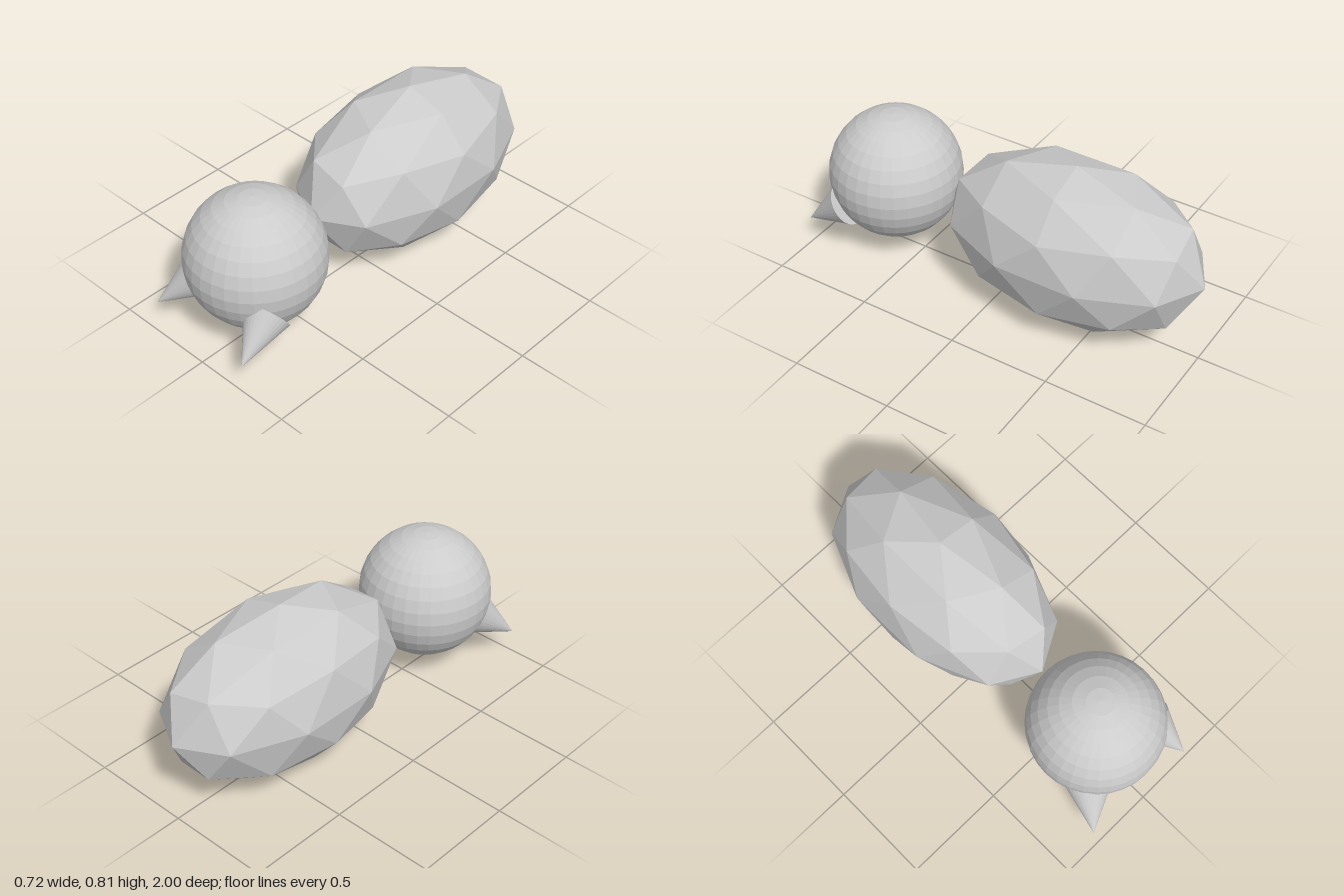
import * as THREE from 'three';

const material = new THREE.MeshStandardMaterial({ color: 0xcccccc, flatShading: true });

function addMesh(group, name, geometry) {
  const mesh = new THREE.Mesh(geometry, material);
  mesh.name = name;
  group.add(mesh);
  return mesh;
}

// Cone running from its tip back along a direction to its base
function addPincer(group, name, tip, axis, height, radius) {
  const geometry = new THREE.ConeGeometry(radius, height, 32);
  geometry.translate(0, -height / 2, 0); // tip at the origin
  const mesh = addMesh(group, name, geometry);
  const back = new THREE.Vector3(...axis).normalize();
  mesh.quaternion.setFromUnitVectors(new THREE.Vector3(0, -1, 0), back);
  mesh.position.set(...tip);
}

export function createModel() {
  const group = new THREE.Group();
  group.name = 'creature';

  // Body: 80-sided icosphere, one corner turned straight up, then stretched
  const body = new THREE.IcosahedronGeometry(1, 1);
  body.rotateZ(-Math.atan(2 / (1 + Math.sqrt(5))));
  body.scale(0.38, 0.404, 0.656);
  addMesh(group, 'body', body).position.set(0, 0.405, -0.344);

  // Head
  const head = addMesh(group, 'head', new THREE.SphereGeometry(0.324, 32, 16));
  head.position.set(0, 0.407, 0.653);

  // Pincers: same cone, turned by different amounts
  addPincer(group, 'leftPincer', [0.26, 0.143, 1.0], [-0.18, 0.566, -0.805], 0.252, 0.11);
  addPincer(group, 'rightPincer', [-0.318, 0.14, 0.972], [0.49, 0.566, -0.66], 0.252, 0.11);

  return group;
}
